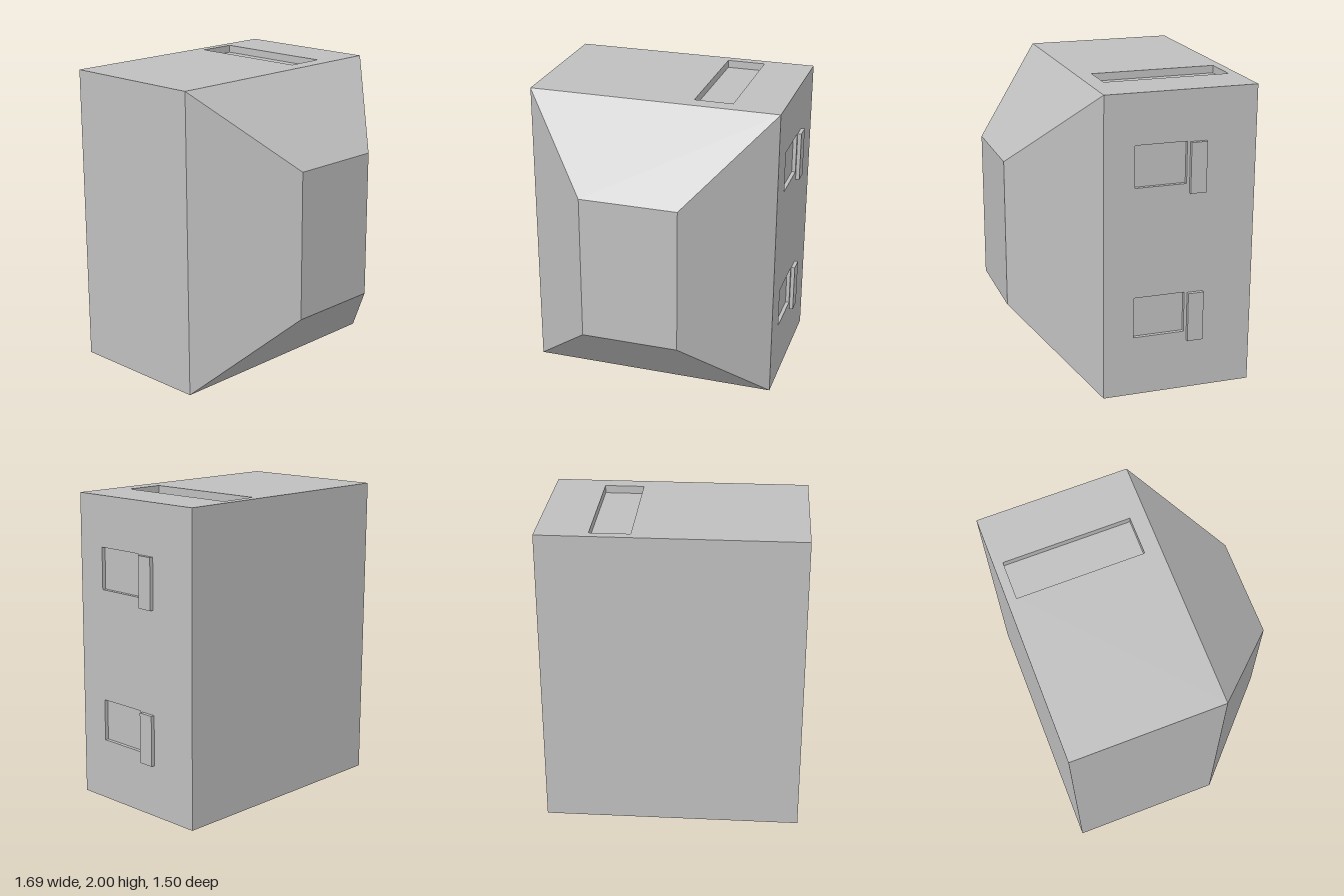
import * as THREE from 'three';

// Main block extents and the smaller front face of its tapered nose
const L = -0.845, R = 0.82, H = 2, BACK = -0.75, MID = 0.25, FRONT = 0.75;
const NL = -0.335, NR = 0.31, NB = 0.515, NT = 1.49;

// Flat-shaded surface from four-cornered faces, corners anticlockwise from outside
function quads(faces) {
  const pos = faces.flatMap(([a, b, c, d]) => [a, b, c, a, c, d].flat());
  const g = new THREE.BufferGeometry();
  g.setAttribute('position', new THREE.Float32BufferAttribute(pos, 3));
  g.computeVertexNormals();
  return g;
}

const rect = (u0, v0, u1, v1) => [[u0, v0], [u1, v0], [u1, v1], [u0, v1]];

// Flat wall facing local +z with shallow rectangular pockets sunk into it
function pocketWall(name, outline, pockets, depth, material) {
  const group = new THREE.Group();
  group.name = name;
  const toPoints = (r) => r.map(([u, v]) => new THREE.Vector2(u, v));
  const shape = new THREE.Shape(toPoints(outline));
  const faces = [];
  for (const p of pockets) {
    shape.holes.push(new THREE.Path(toPoints(p).reverse()));
    const floor = p.map(([u, v]) => [u, v, -depth]);
    const rim = p.map(([u, v]) => [u, v, 0]);
    faces.push(floor);
    for (let i = 0; i < 4; i++) {
      const j = (i + 1) % 4;
      faces.push([rim[i], rim[j], floor[j], floor[i]]);
    }
  }
  const wall = new THREE.Mesh(new THREE.ShapeGeometry(shape), material);
  wall.name = name + 'Face';
  const recess = new THREE.Mesh(quads(faces), material);
  recess.name = name + 'Recess';
  group.add(wall, recess);
  return group;
}

export function createModel() {
  const model = new THREE.Group();
  model.name = 'cabinet';
  const grey = new THREE.MeshStandardMaterial({ color: 0xbfbfbf });
  grey.name = 'plainGrey';

  // Outer ring and nose corners, anticlockwise seen from the front
  const ring = (l, b, r, t, z) => rect(l, b, r, t).map(([x, y]) => [x, y, z]);
  const back = ring(L, 0, R, H, BACK);
  const mid = ring(L, 0, R, H, MID);
  const nose = ring(NL, NB, NR, NT, FRONT);

  // Back, bottom and plain side of the block
  const shell = new THREE.Mesh(quads([
    [...back].reverse(),
    [back[0], back[1], mid[1], mid[0]],
    [back[3], back[0], mid[0], mid[3]],
  ]), grey);
  shell.name = 'body';

  // Tapered front with four sloping sides
  const slopes = mid.map((m, i) => {
    const j = (i + 1) % 4;
    return [m, mid[j], nose[j], nose[i]];
  });
  const taper = new THREE.Mesh(quads([nose, ...slopes]), grey);
  taper.name = 'taperedFront';
  model.add(shell, taper);

  // Top with one long slot
  const top = pocketWall('top', rect(L, -MID, R, -BACK),
    [rect(0.235, -0.145, 0.49, 0.69)], 0.05, grey);
  top.rotation.x = -Math.PI / 2;
  top.position.y = H;

  // Side wall with two pockets, each with a raised bar behind it
  const levels = [0, 1];
  const side = pocketWall('side', rect(-MID, 0, -BACK, H),
    levels.map((y) => rect(-0.05, y + 0.4, 0.29, y + 0.672)), 0.025, grey);
  side.rotation.y = Math.PI / 2;
  side.position.x = R;
  model.add(top, side);

  for (const y of levels) {
    const bar = new THREE.Mesh(new THREE.BoxGeometry(0.025, 0.33, 0.105), grey);
    bar.name = 'handleBar';
    bar.position.set(R + 0.0125, y + 0.503, -0.3625);
    model.add(bar);
  }
  return model;
}
